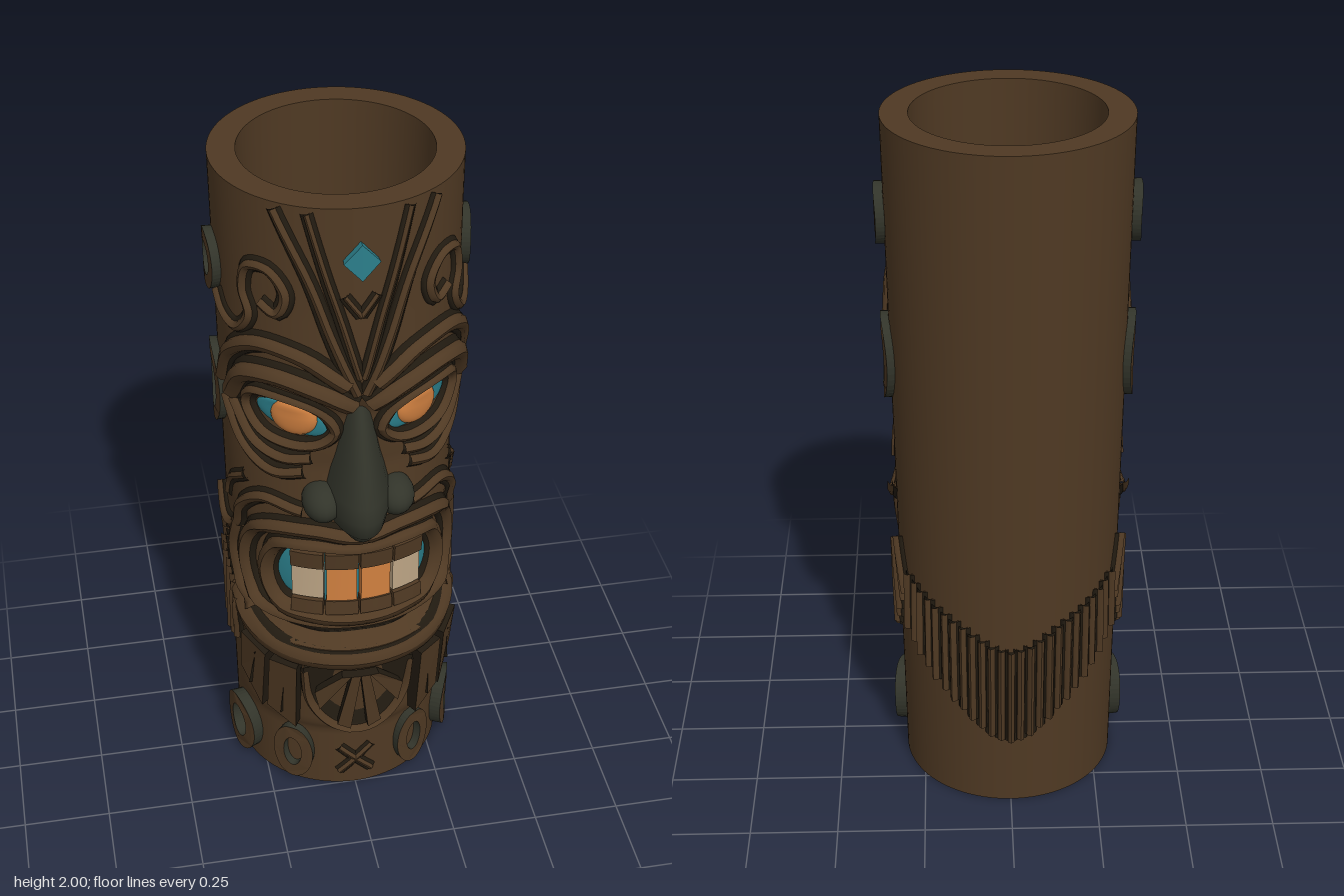
import * as THREE from 'three';
import { toCreasedNormals } from 'three/addons/utils/BufferGeometryUtils.js';

const material = (name, color) => {
  const m = new THREE.MeshStandardMaterial({ color });
  m.name = name;
  return m;
};

export function createModel() {
  const group = new THREE.Group();
  const wood = material('wood', 0x4f3923);
  const groove = material('dark groove', 0x221b11);
  const moss = material('mossy charcoal', 0x32342a);
  const teal = material('teal', 0x2a7c88);
  const orange = material('orange', 0xd08040);
  const ivory = material('ivory', 0xbda585);

  const ARC = Math.PI / 180 * 0.31; // flat length of one degree around the log
  const CZ = -0.06;                 // log axis
  const add = (name, geo, mat) => {
    const mesh = new THREE.Mesh(geo, mat);
    mesh.name = name;
    group.add(mesh);
    return mesh;
  };

  // Front silhouette of the log as [y, z]; fades out toward the sides
  const profile = [[0, .25], [.22, .25], [.26, .27], [.5, .29], [.54, .325], [.6, .325], [.64, .25], [.68, .275],
    [.72, .25], [.92, .25], [.97, .285], [1.05, .28], [1.2, .26], [1.38, .27], [1.46, .305], [1.55, .31],
    [1.7, .295], [1.85, .285], [2, .275]];
  const frontZ = (y) => {
    let i = 0;
    while (i < profile.length - 2 && profile[i + 1][0] < y) i++;
    const [y0, z0] = profile[i], [y1, z1] = profile[i + 1];
    return THREE.MathUtils.lerp(z0, z1, THREE.MathUtils.clamp((y - y0) / (y1 - y0), 0, 1));
  };
  const surface = (a, y) => {
    const base = 0.305 + 0.015 * y;
    const fade = Math.abs(a) < 1.4 ? Math.cos(a * 1.12) : 0;
    const socket = 0.018 * Math.exp(-(((Math.abs(a) - 0.54) / 0.25) ** 2) - ((y - 1.35) / 0.07) ** 2);
    return base + (frontZ(y) - CZ - base) * fade - socket;
  };
  // Bends flat geometry (x = arc length, y, z = height) around the log
  const wrap = (geo) => {
    const p = geo.attributes.position;
    for (let i = 0; i < p.count; i++) {
      const a = p.getX(i) / 0.31, y = p.getY(i);
      const r = surface(a, y) + p.getZ(i);
      p.setXYZ(i, Math.sin(a) * r, y, Math.cos(a) * r + CZ);
    }
    geo.computeVertexNormals();
    return geo;
  };
  // Surface through rows of points, optionally skipping cells
  const loft = (rows, skip = () => false) => {
    const n = rows[0].length, index = [];
    for (let r = 0; r < rows.length - 1; r++) for (let c = 0; c < n - 1; c++) {
      if (skip(rows[r][c])) continue;
      const i = r * n + c;
      index.push(i, i + 1, i + n + 1, i, i + n + 1, i + n);
    }
    const geo = new THREE.BufferGeometry();
    geo.setAttribute('position', new THREE.Float32BufferAttribute(rows.flat(2), 3));
    geo.setIndex(index);
    return geo;
  };

  // Hollow log with an opening behind each ear
  const ringRow = (radius, y) => Array.from({ length: 97 }, (_, i) => {
    const a = i / 96 * Math.PI * 2 - Math.PI, r = radius(a, y);
    return [Math.sin(a) * r, y, Math.cos(a) * r + CZ];
  });
  const inner = (a, y) => 0.24 + 0.01 * y;
  const rows = [ringRow(() => 0, 0)];
  for (let i = 0; i <= 100; i++) rows.push(ringRow(surface, i / 50));
  for (let i = 50; i >= 2; i--) rows.push(ringRow(inner, i / 25));
  rows.push(ringRow(() => 0, 0.08));
  const body = loft(rows, ([, y, z]) => ((z + 0.07) / 0.068) ** 2 + ((y - 1.31) / 0.105) ** 2 < 1);
  add('hollowLog', toCreasedNormals(body, 0.7), wood);

  // Carved ridge along [degrees, y] points, with a dark outline below it
  const ridge = (name, pts, w, h, mat = wood, closed = false, outline = 0.008) => {
    const curve = new THREE.CatmullRomCurve3(pts.map(([d, y]) => new THREE.Vector3(d * ARC, y, 0)), closed);
    const seg = pts.length < 3 ? 8 : pts.length * 5;
    const tube = (r, z) => wrap(new THREE.TubeGeometry(curve, seg, r, 8, closed).scale(1, 1, z / r));
    add(name, tube(w, h), mat);
    if (outline) add(name + 'Outline', tube(w + outline, h * 0.5), groove);
  };
  // Raised plate with dark edges
  const extrude = (name, shape, z, depth, mats) => {
    const geo = new THREE.ExtrudeGeometry(shape, { depth, bevelEnabled: false, curveSegments: 20 });
    return add(name, wrap(geo.translate(0, 0, z)), mats);
  };
  const plate = (name, pts, z, depth, mats = [wood, groove]) =>
    extrude(name, new THREE.Shape(pts.map(([d, y]) => new THREE.Vector2(d * ARC, y))), z, depth, mats);
  const ring = (name, d, y, rx, ry, hx, hy, z, depth, mats = [wood, moss]) => {
    const shape = new THREE.Shape().absellipse(d * ARC, y, rx, ry, 0, Math.PI * 2);
    shape.holes.push(new THREE.Path().absellipse(d * ARC, y, hx, hy, 0, Math.PI * 2));
    return extrude(name, shape, z, depth, mats);
  };
  const blob = (name, d, y, sx, sy, sz, mat, tilt = 0, z = 0) => add(name, wrap(
    new THREE.SphereGeometry(1, 24, 16).scale(sx, sy, sz).rotateZ(tilt).translate(d * ARC, y, z)), mat);
  const block = (name, d, y, w, h, z, mat) =>
    add(name, wrap(new THREE.BoxGeometry(w * ARC, h, 0.04, 4, 1, 1).translate(d * ARC, y, z)), mat);
  // Row of ribs between an upper and a lower edge
  const feather = (name, top, bottom, count) => {
    const edge = (p) => new THREE.CatmullRomCurve3(p.map(([d, y]) => new THREE.Vector3(d, y, 0)));
    const a = edge(top), b = edge(bottom);
    for (let i = 0; i < count; i++) {
      const p = a.getPoint(i / (count - 1)), q = b.getPoint(i / (count - 1));
      ridge(name, [[p.x, p.y], [q.x, q.y]], 0.012, 0.024 - 0.005 * (i % 2));
    }
  };

  // Nose: lofted half-ellipses, from tip to bridge
  const noseRows = [[.995, .01, .3], [1.01, .055, .35], [1.05, .085, .388], [1.1, .098, .397], [1.15, .092, .39],
    [1.25, .068, .355], [1.35, .05, .315], [1.43, .035, .28]];
  const nose = loft(noseRows.map(([y, w, z]) => Array.from({ length: 17 }, (_, i) => {
    const t = (i / 16 - 0.5) * Math.PI;
    return [w * Math.sin(t), y, 0.18 + (z - 0.18) * Math.cos(t)];
  })));
  nose.computeVertexNormals();
  add('nose', nose, moss);

  for (const s of [1, -1]) {
    const m = (pts) => pts.map(([d, y]) => [d * s, y]);
    // Nostril wings
    const wing = add('nostrilWing', new THREE.SphereGeometry(1, 20, 14), moss);
    wing.scale.set(0.055, 0.055, 0.075);
    wing.position.set(0.1 * s, 1.105, 0.265);

    // Eyes, lids, brows and bags
    blob('eyeWhite', 32 * s, 1.35, 0.105, 0.045, 0.014, teal, 0.22 * s);
    blob('iris', 31 * s, 1.355, 0.066, 0.056, 0.034, orange);
    ridge('eyelid', m([[11, 1.33], [20, 1.405], [35, 1.435], [50, 1.42], [56, 1.37], [48, 1.295], [32, 1.27], [18, 1.285]]),
      0.016, 0.03, wood, true);
    ridge('brow', m([[4, 1.43], [16, 1.48], [34, 1.51], [52, 1.48], [66, 1.37]]), 0.03, 0.042);
    ridge('upperBrow', m([[6, 1.5], [24, 1.58], [44, 1.59], [64, 1.51], [77, 1.38]]), 0.024, 0.03);
    ridge('eyeBag', m([[22, 1.235], [36, 1.22], [52, 1.25], [65, 1.35]]), 0.018, 0.03);
    ridge('cheekFold', m([[26, 1.185], [42, 1.165], [60, 1.21], [74, 1.33]]), 0.017, 0.024);

    // Ears
    ring('ear', 92 * s, 1.31, 0.085, 0.125, 0.05, 0.087, -0.09, 0.112);

    // Forehead lines and scrolls
    ridge('foreheadLine', m([[2, 1.47], [13, 1.65], [22, 1.8], [38, 1.985]]), 0.012, 0.018);
    ridge('foreheadInnerLine', m([[1, 1.52], [8, 1.68], [15, 1.82], [23, 1.985]]), 0.008, 0.014);
    ridge('templeScroll', m([[44, 1.71], [36, 1.69], [32, 1.75], [40, 1.81], [51, 1.8], [54, 1.73], [50, 1.66], [58, 1.6], [70, 1.61], [78, 1.65]]),
      0.015, 0.022);
    ring('templeRing', 87 * s, 1.715, 0.068, 0.085, 0.035, 0.048, -0.02, 0.045);

    // Cheek lines beside the mouth
    ridge('smileLine', m([[26, 1.06], [46, 1.07], [62, 1.0], [73, 0.88], [86, 0.86], [98, 0.93]]), 0.018, 0.025);
    ridge('jawLine', m([[60, 1.1], [76, 1.03], [82, 0.96]]), 0.012, 0.015);
    ridge('jowl', m([[70, 0.9], [75, 0.8], [70, 0.7], [58, 0.63]]), 0.024, 0.026);

    // Teeth and gums
    block('frontTooth', 8 * s, 0.815, 14, 0.115, 0.02, orange);
    block('sideTooth', 24 * s, 0.815, 15, 0.105, 0.017, ivory);
    for (const d of [8, 24]) {
      block('upperGum', d * s, 0.9, 15, 0.055, 0.025, wood);
      block('lowerGum', d * s, 0.735, 15, 0.045, 0.025, wood);
    }

    // Beard locks
    plate('beardLock', m([[27, 0.53], [40, 0.53], [45, 0.31], [30, 0.26]]), -0.02, 0.055);
    plate('outerBeardLock', m([[42, 0.54], [58, 0.56], [64, 0.39], [49, 0.29]]), -0.02, 0.052);
    ridge('beardStrand', m([[33, 0.5], [37, 0.31]]), 0.006, 0.042, groove, false, 0);
    ridge('beardStrand', m([[49, 0.52], [56, 0.36]]), 0.006, 0.04, groove, false, 0);

    // Side leaves and base scrolls
    feather('sideLeaf', m([[70, 0.62], [86, 0.7], [104, 0.77]]), m([[74, 0.45], [92, 0.43], [114, 0.61]]), 11);
    ring('baseDisc', 72 * s, 0.12, 0.08, 0.1, 0.04, 0.058, -0.02, 0.055);
    ring('baseScroll', 34 * s, 0.125, 0.06, 0.1, 0.027, 0.055, -0.02, 0.045);

    // Base cross and forehead chevron
    ridge('baseCross', [[-9 * s, 0.05], [9 * s, 0.15]], 0.01, 0.012, wood);
    ridge('chevron', m([[0, 1.7], [7, 1.76]]), 0.007, 0.012);
  }

  // Mouth
  const mirrored = (pts) => [...pts, ...pts.slice(1, -1).reverse().map(([d, y]) => [-d, y])];
  blob('mouthInside', 0, 0.82, 0.26, 0.115, 0.012, teal);
  ridge('lips', mirrored([[0, .935], [20, .955], [39, .925], [47, .82], [40, .72], [20, .7], [0, .695]]),
    0.026, 0.048, wood, true);
  ridge('outerLips', mirrored([[0, .985], [20, 1.005], [44, .98], [59, .9], [63, .79], [54, .685], [25, .66], [0, .66]]),
    0.024, 0.034, wood, true);

  // Chin and beard fan
  ridge('chin', [[-78, .63], [-58, .59], [-32, .565], [0, .56], [32, .565], [58, .59], [78, .63]], 0.036, 0.02);
  plate('beardFan', [[-25, .52], [25, .52], [24, .38], [14, .285], [0, .25], [-14, .285], [-24, .38]], -0.02, 0.04,
    [groove, groove]);
  ridge('beardFanRim', [[-25, .5], [-23, .37], [-13, .285], [0, .255], [13, .285], [23, .37], [25, .5]], 0.014, 0.036);
  const tips = [[-20, .43], [-18, .36], [-10, .3], [-4, .28], [4, .28], [10, .3], [18, .36], [20, .43]];
  for (let i = 0; i < 8; i += 2) {
    const d = (i - 3) * 2;
    plate('beardBlade', [[d - 2, .5], tips[i], tips[i + 1], [d + 2, .5]], 0.01, 0.03);
  }

  // Forehead jewel
  plate('foreheadJewel', [[0, 1.81], [7.5, 1.86], [0, 1.91], [-7.5, 1.86]], 0, 0.022, [teal, teal]);

  // Feather collar across the back
  feather('backFeathers', [[118, .69], [150, .61], [180, .53], [210, .61], [242, .69]],
    [[116, .5], [150, .34], [180, .22], [210, .34], [244, .5]], 25);
  return group;
}
